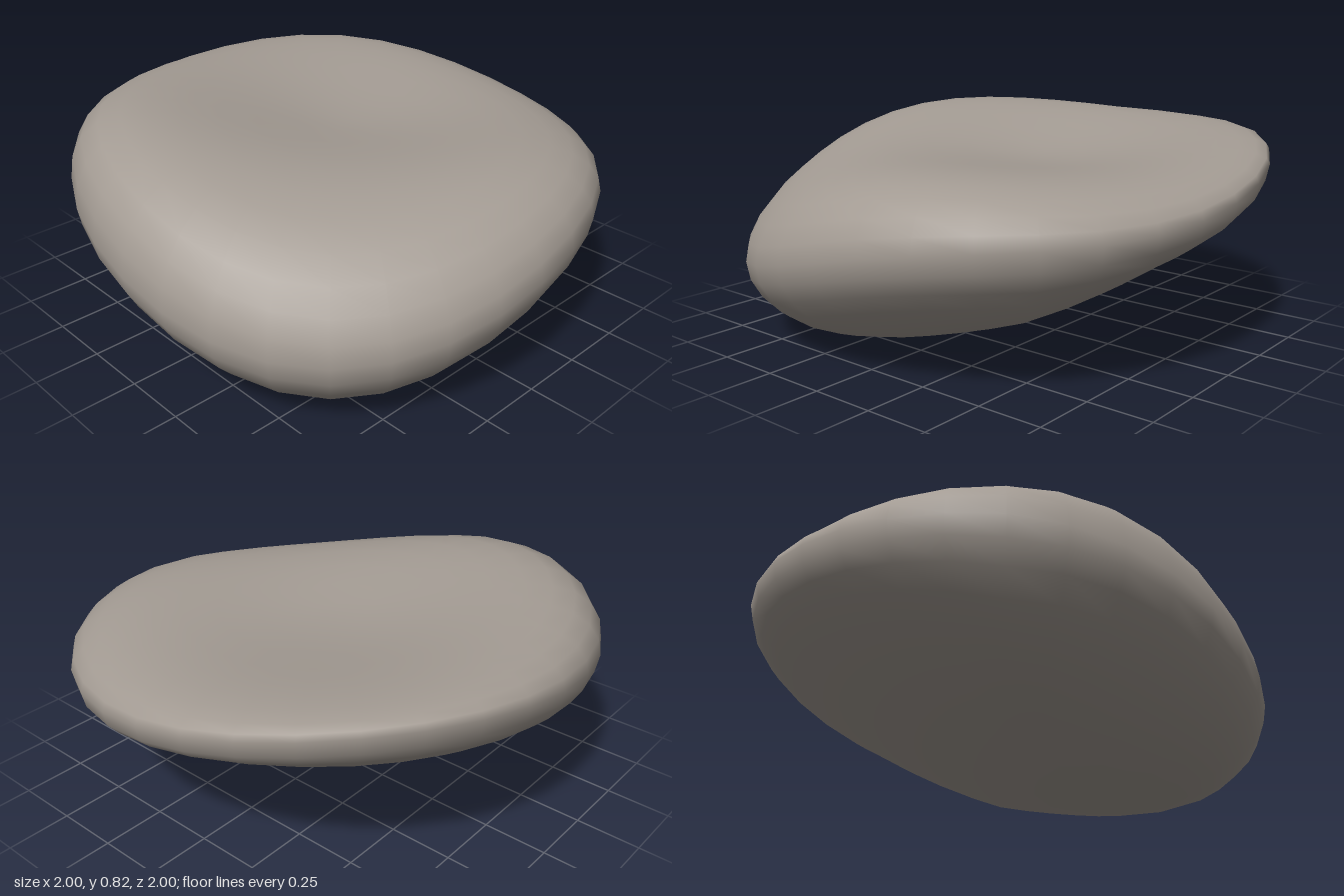
import * as THREE from 'three';
import { mergeVertices } from 'three/addons/utils/BufferGeometryUtils.js';

// Height of the widest edge: low at the front right corner, high at the back left
const edge = (x, z) => 0.54 + 0.085 * x - 0.12 * z - 0.015 * x * x + 0.02 * z * z
  - 0.1 * x * z * (x - z) + 0.05 * x * z;

// Upper face: rounded rim of varying height around a broad shallow dish
function topHeight(x, z, r) {
  const corners = 0.012 * Math.max(0, x - z) ** 3 - 0.045 * Math.max(0, z - x) ** 3;
  const rim = 0.776 - 0.045 * x - 0.053 * z - 0.015 * x * x + 0.08 * x * z
    - 0.1 * x * x * z + 0.06 * x * z * z + corners;
  const round = Math.sqrt(Math.max(0, 1 - r ** 6.5));
  const dish = 0.09 * Math.exp(-((x - 0.12) ** 2 + (z + 0.05) ** 2) / 0.3);
  const e = edge(x, z);
  return e + (rim - dish - e) * round;
}

// Underside: tilted bowl whose slope eases into the edge, flattened beside its keel
function bottomHeight(x, z, r) {
  const ease = r ** 8;
  const keel = 0.12 * (x + z) ** 2 * Math.max(0, z - x);
  const tilt = 0.54 + 0.21 * (x - z) + keel;
  const bowl = 0.455 * Math.sqrt(Math.max(0, 1 - r * r));
  return tilt + (edge(x, z) - tilt) * ease - bowl;
}

export function createModel() {
  const group = new THREE.Group();
  group.name = 'pebble';

  // Smooth stone: a sphere with each half moved to its own height rule,
  // its outline slightly fuller on the diagonals
  let geometry = new THREE.SphereGeometry(1, 32, 20);
  const pos = geometry.attributes.position;
  for (let i = 0; i < pos.count; i++) {
    const x = pos.getX(i), z = pos.getZ(i);
    const r = Math.min(1, Math.hypot(x, z));
    const y = pos.getY(i) > -1e-6 ? topHeight(x, z, r) : bottomHeight(x, z, r);
    const fuller = 1 + 0.08 * x * x * z * z;
    pos.setXYZ(i, x * fuller, y, z * fuller);
  }

  // Weld the seam so the shading stays smooth all round
  geometry.deleteAttribute('uv');
  geometry.deleteAttribute('normal');
  geometry = mergeVertices(geometry, 1e-5);
  geometry.computeVertexNormals();

  const stone = new THREE.Mesh(geometry, new THREE.MeshStandardMaterial({ color: 0xa39b93 }));
  stone.name = 'stone';
  group.add(stone);
  return group;
}
